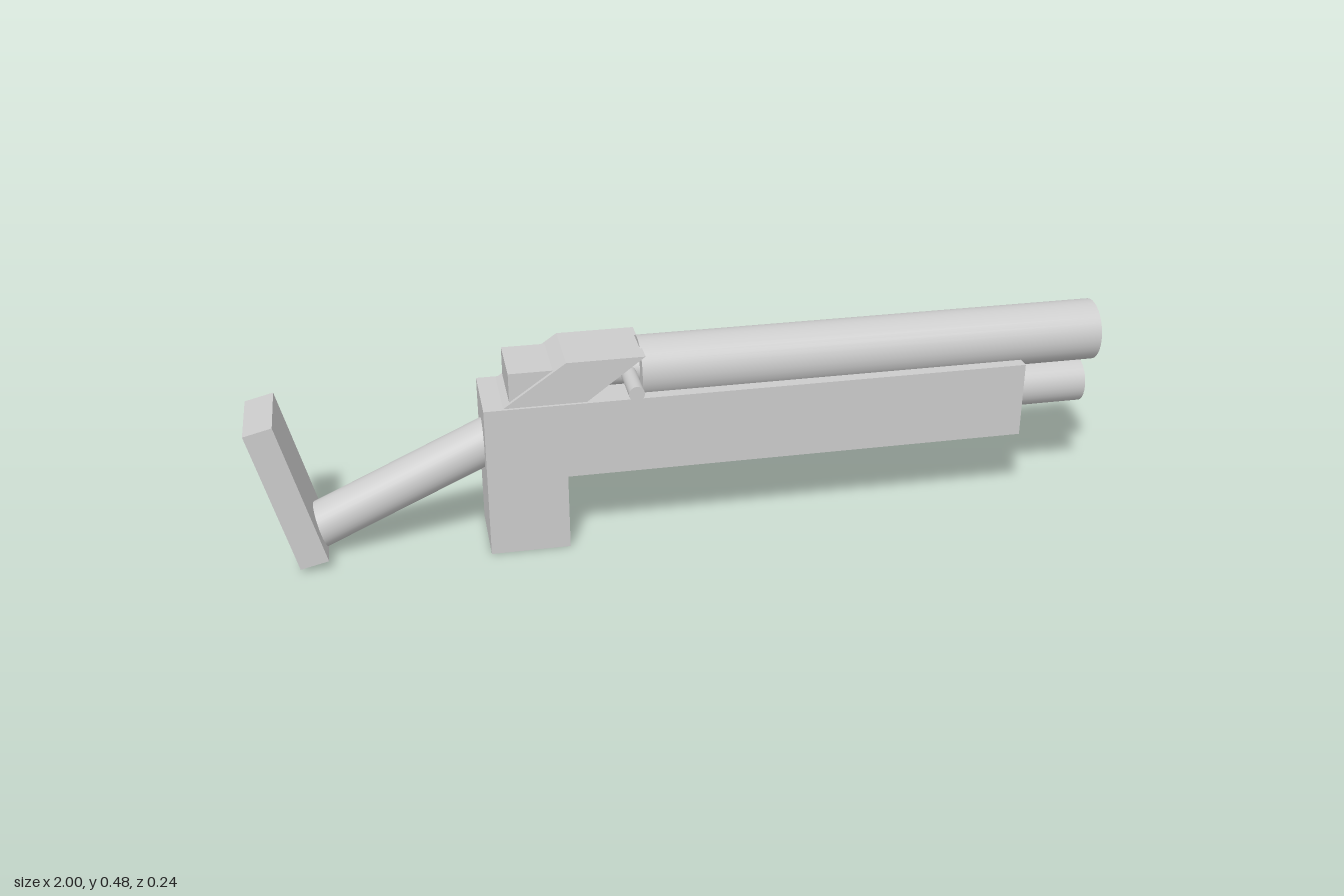
import * as THREE from 'three';

const Z = -0.026; // shared centre plane of the body

export function createModel() {
  const model = new THREE.Group();
  const material = new THREE.MeshStandardMaterial({ color: 0xcccccc });

  const add = (name, geometry) => {
    const mesh = new THREE.Mesh(geometry, material);
    mesh.name = name;
    model.add(mesh);
    return mesh;
  };

  // side profile in x/y, extruded evenly about the centre plane
  const slab = (name, points, width) => {
    const shape = new THREE.Shape(points.map(([x, y]) => new THREE.Vector2(x, y)));
    const geometry = new THREE.ExtrudeGeometry(shape, { depth: width, bevelEnabled: false });
    return add(name, geometry.translate(0, 0, Z - width / 2));
  };

  // round bar between two points
  const rod = (name, from, to, radius) => {
    const a = new THREE.Vector3(...from);
    const b = new THREE.Vector3(...to);
    const mesh = add(name, new THREE.CylinderGeometry(radius, radius, a.distanceTo(b), 32));
    mesh.position.copy(a).lerp(b, 0.5);
    mesh.quaternion.setFromUnitVectors(new THREE.Vector3(0, 1, 0), b.sub(a).normalize());
    return mesh;
  };

  // body with the short block grip below its rear
  slab('body', [
    [-0.475, 0], [-0.29, 0], [-0.29, 0.185], [0.805, 0.185], [0.805, 0.368], [-0.475, 0.368],
  ], 0.184);

  // barrel and the thinner tube beneath it
  rod('barrel', [-0.11, 0.406, Z], [1, 0.406, Z], 0.073);
  rod('lowerTube', [0.7, 0.277, Z], [0.98, 0.277, Z], 0.055);

  // slanted cover, rear block, bolt and side handle
  slab('slantedCover', [[-0.43, 0.368], [-0.24, 0.368], [-0.105, 0.468], [-0.285, 0.468]], 0.17);
  slab('rearBlock', [[-0.415, 0.36], [-0.28, 0.36], [-0.28, 0.448], [-0.415, 0.448]], 0.15);
  rod('bolt', [-0.3, 0.406, Z], [-0.1, 0.406, Z], 0.037);
  rod('boltHandle', [-0.136, 0.406, Z], [-0.136, 0.406, 0.12], 0.018);

  // stock bar and tilted shoulder plate
  rod('stockBar', [-0.88, 0.063, Z], [-0.42, 0.272, Z], 0.054);
  slab('shoulderPlate', [[-0.91, 0.01], [-0.845, 0.025], [-0.935, 0.374], [-1, 0.358]], 0.184);

  return model;
}
